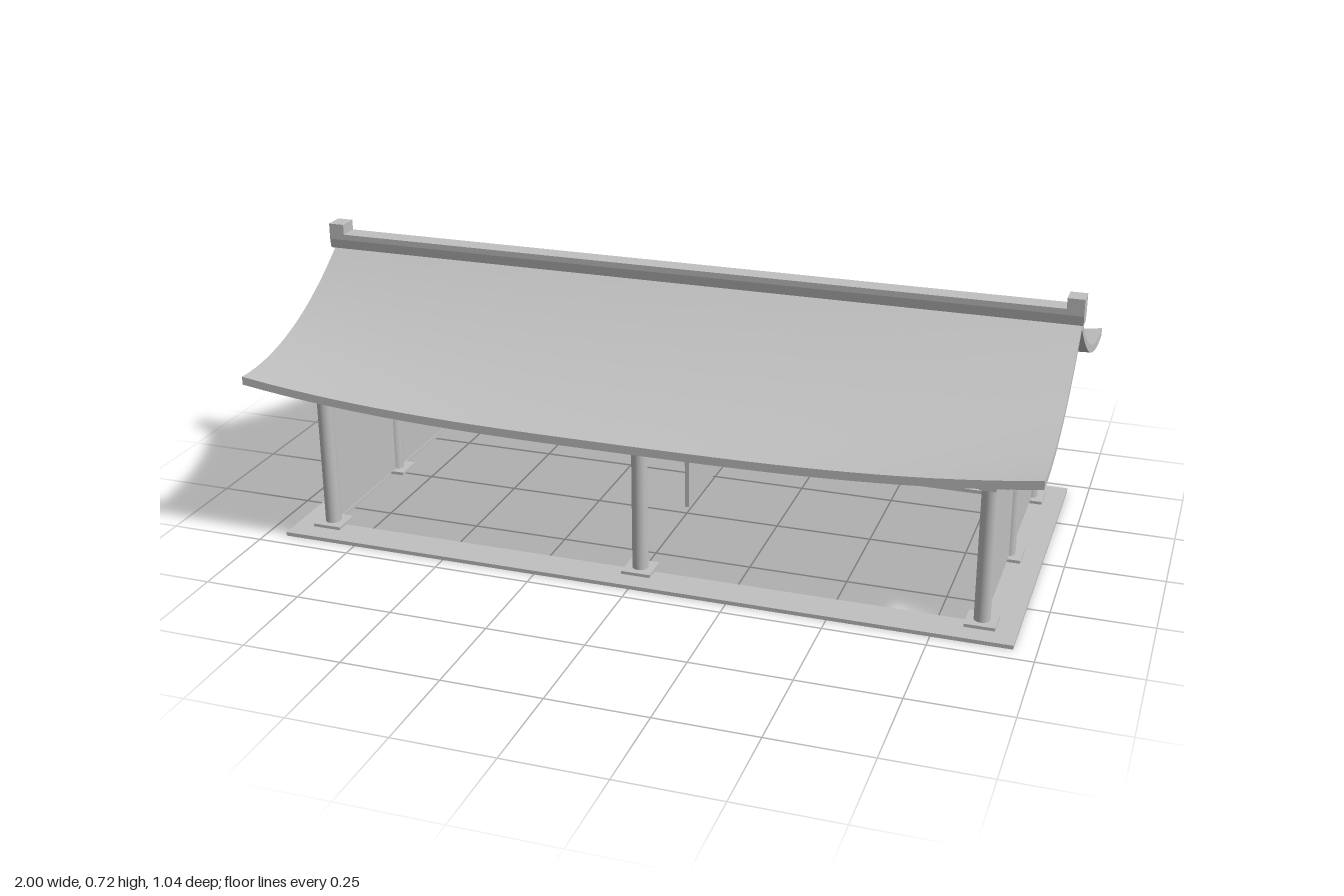
import * as THREE from 'three';

const CX = 0.856, CZ = 0.367; // column grid
const BEAM_LOW = 0.367, BEAM_TOP = 0.41, FLOOR = 0.018;

export function createModel() {
  const model = new THREE.Group();
  const grey = new THREE.MeshStandardMaterial({ color: 0xc0c0c0 });
  grey.name = 'plain grey';

  const add = (name, geometry, x = 0, y = 0, z = 0) => {
    const mesh = new THREE.Mesh(geometry, grey);
    mesh.name = name;
    mesh.position.set(x, y, z);
    model.add(mesh);
    return mesh;
  };
  // box given by its centre in x and z, and its bottom and top
  const box = (name, w, d, y0, y1, x = 0, z = 0) =>
    add(name, new THREE.BoxGeometry(w, y1 - y0, d), x, (y0 + y1) / 2, z);
  const rectangle = (Path, hx, hz) => new Path([
    new THREE.Vector2(-hx, -hz), new THREE.Vector2(hx, -hz),
    new THREE.Vector2(hx, hz), new THREE.Vector2(-hx, hz),
  ]);

  // base frame around the open floor
  const base = rectangle(THREE.Shape, 0.945, 0.458);
  base.holes.push(rectangle(THREE.Path, CX, CZ));
  const baseGeo = new THREE.ExtrudeGeometry(base, { depth: 0.01, bevelEnabled: false });
  add('baseFrame', baseGeo.rotateX(-Math.PI / 2));

  // columns on square plinths
  for (const i of [-1, 0, 1]) for (const j of [-1, 0, 1]) {
    if (i === 0 && j === 0) continue;
    const x = i * CX, z = j * CZ;
    box('plinth', 0.075, 0.075, 0.01, FLOOR, x, z);
    const h = BEAM_LOW - FLOOR + 0.01;
    add('column', new THREE.CylinderGeometry(0.02, 0.02, h, 24), x, FLOOR + h / 2, z);
  }

  // walls: back, both ends, and a half-depth partition; the front is open
  box('backWall', 2 * CX, 0.012, FLOOR, BEAM_LOW, 0, -CZ);
  box('partition', 0.012, CZ, FLOOR, BEAM_LOW, 0, -CZ / 2);

  // curved gable outline, just under the roof
  const half = [[0.39, 0.408], [0.3, 0.455], [0.2, 0.503], [0.1, 0.56]];
  const outline = [
    ...half, [0, 0.628], ...half.slice().reverse().map(([z, y]) => [-z, y]),
  ].map(([z, y]) => new THREE.Vector2(z, y));

  for (const s of [-1, 1]) {
    box('endWall', 0.012, 2 * CZ, FLOOR, BEAM_LOW, s * CX);
    box('longBeam', 1.8, 0.04, BEAM_LOW, BEAM_TOP, 0, s * CZ);
    box('crossBeam', 0.04, 0.82, BEAM_LOW + 0.0005, BEAM_TOP - 0.0005, s * CX);
    const gable = new THREE.ExtrudeGeometry(new THREE.Shape(outline), { depth: 0.012, bevelEnabled: false });
    add('gable', gable.translate(0, 0, -0.006).rotateY(Math.PI / 2), s * CX);
  }

  // roof slopes: concave fall with eaves lifting towards the ends
  const depth = 0.52;
  for (const s of [-1, 1]) {
    const geo = new THREE.BoxGeometry(1.99, 0.021, depth, 32, 1, 24);
    geo.translate(0, -0.0105, s * depth / 2);
    const p = geo.attributes.position;
    for (let i = 0; i < p.count; i++) {
      const z = Math.abs(p.getZ(i));
      const fall = 0.655 - 0.79 * z + 0.616 * z * z;
      const lift = 0.05 * Math.abs(p.getX(i)) ** 3 * (z / depth) ** 2;
      p.setY(i, p.getY(i) + fall + lift);
    }
    geo.computeVertexNormals();
    add(s > 0 ? 'frontRoofSlope' : 'backRoofSlope', geo);
  }

  // ridge bar and raised end blocks, narrowing towards the bottom
  const ridge = (name, length, top, x) => {
    const shape = new THREE.Shape([
      [-0.022, 0.65], [0.022, 0.65], [0.026, 0.675], [0.026, top], [-0.026, top], [-0.026, 0.675],
    ].map(([z, y]) => new THREE.Vector2(z, y)));
    const geo = new THREE.ExtrudeGeometry(shape, { depth: length, bevelEnabled: false });
    add(name, geo.translate(0, 0, -length / 2).rotateY(Math.PI / 2), x);
  };
  ridge('ridge', 1.92, 0.69, 0);
  for (const s of [-1, 1]) ridge('ridgeEnd', 0.042, 0.717, s * 0.979);

  return model;
}
